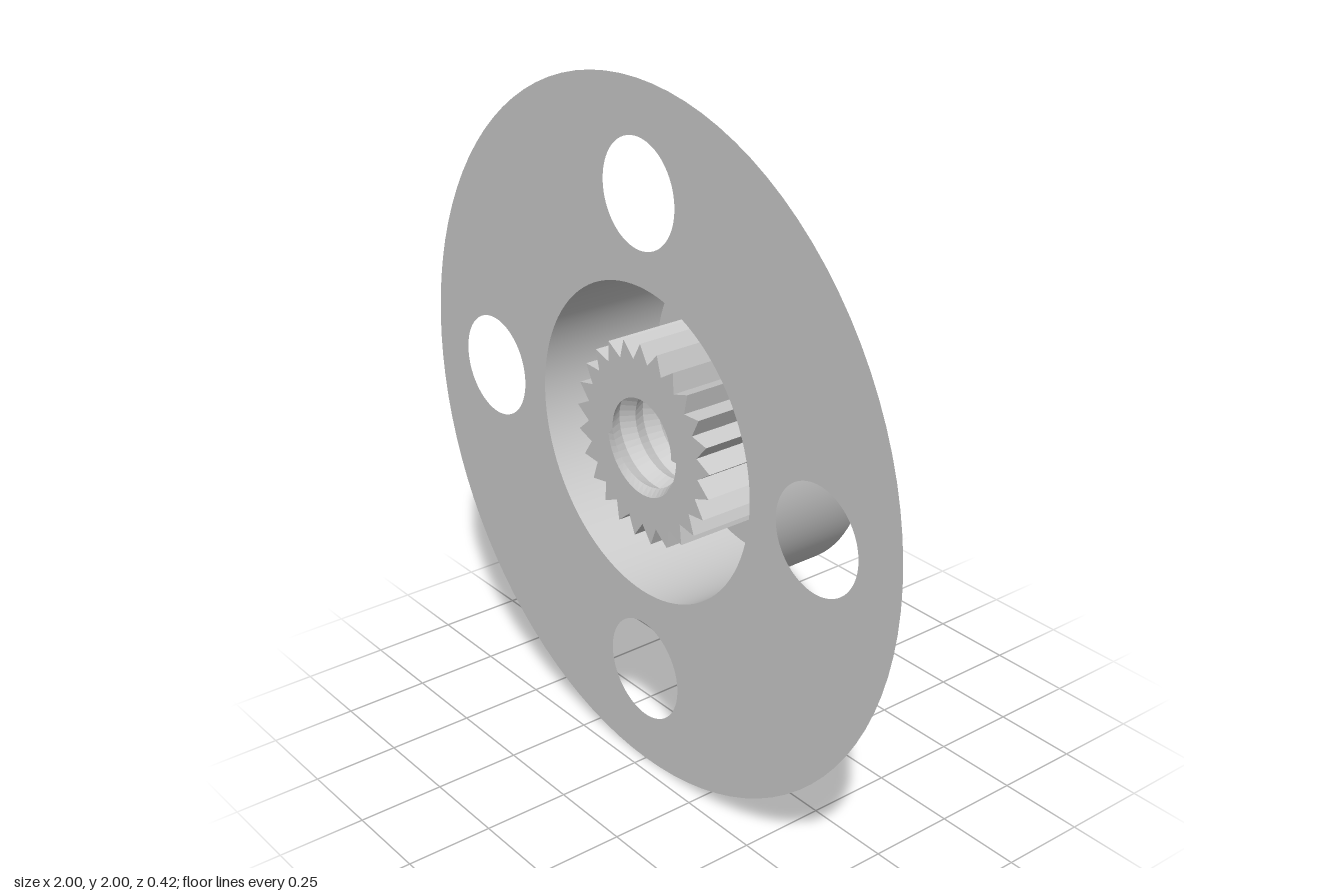
import * as THREE from 'three';

const FRONT = 0.21, BACK = -0.19, SEG = 96;
const HUB_R = 0.45, BORE_R = 0.15, CREST_R = 0.13;
const TEETH = 25, TIP_R = 0.29, VALLEY_R = 0.24;

const smooth = new THREE.MeshStandardMaterial({ color: 0xcccccc, side: THREE.DoubleSide });
const flat = new THREE.MeshStandardMaterial({ color: 0xcccccc, side: THREE.DoubleSide, flatShading: true });

function circle(Type, r, x = 0, y = 0) {
  return new Type().absarc(x, y, r, 0, Math.PI * 2, false);
}

// Zigzag spline outline, with one tooth tip pointing straight up
function splinePoints() {
  const pts = [];
  for (let i = 0; i < TEETH * 2; i++) {
    const a = Math.PI / 2 + (i * Math.PI) / TEETH;
    const r = i % 2 ? VALLEY_R : TIP_R;
    pts.push(new THREE.Vector2(r * Math.cos(a), r * Math.sin(a)));
  }
  return pts;
}

// Grid surface from a function (i, j) => [x, y, z]
function gridSurface(nu, nv, point) {
  const pos = [], index = [];
  for (let i = 0; i <= nu; i++) for (let j = 0; j <= nv; j++) pos.push(...point(i, j));
  for (let i = 0; i < nu; i++) {
    for (let j = 0; j < nv; j++) {
      const a = i * (nv + 1) + j, b = a + nv + 1;
      index.push(a, b, a + 1, b, b + 1, a + 1);
    }
  }
  const g = new THREE.BufferGeometry();
  g.setAttribute('position', new THREE.Float32BufferAttribute(pos, 3));
  g.setIndex(index);
  g.computeVertexNormals();
  return g;
}

// V-thread swept along a helix, trimmed flat at both ends
function threadGeometry() {
  const pitch = 0.08, perTurn = 48, turns = 7, end = -0.21;
  const start = FRONT + pitch;
  return gridSurface(turns * perTurn, 2, (i, j) => {
    const a = (i / perTurn) * Math.PI * 2;
    const r = j === 1 ? CREST_R : BORE_R;
    const z = start - (i / perTurn) * pitch - (j * pitch) / 2;
    return [r * Math.cos(a), r * Math.sin(a), THREE.MathUtils.clamp(z, end, FRONT)];
  });
}

export function createModel() {
  const group = new THREE.Group();
  const add = (name, geometry, material = smooth) => {
    const mesh = new THREE.Mesh(geometry, material);
    mesh.name = name;
    group.add(mesh);
    return mesh;
  };

  // Thin flange with the hub opening and four mounting holes
  const flange = circle(THREE.Shape, 1);
  flange.holes.push(circle(THREE.Path, HUB_R));
  for (let k = 0; k < 4; k++) {
    const a = (k * Math.PI) / 2;
    flange.holes.push(circle(THREE.Path, 0.15, 0.7 * Math.cos(a), 0.7 * Math.sin(a)));
  }
  add('flange', new THREE.ShapeGeometry(flange, SEG / 2)).position.z = FRONT;

  // Hub wall
  const wall = new THREE.CylinderGeometry(HUB_R, HUB_R, FRONT - BACK, SEG, 1, true);
  wall.rotateX(Math.PI / 2);
  add('hubWall', wall).position.z = (FRONT + BACK) / 2;

  // Hub back plate with the toothed opening, facing backwards
  const plate = circle(THREE.Shape, HUB_R);
  plate.holes.push(new THREE.Path(splinePoints()));
  const plateGeometry = new THREE.ShapeGeometry(plate, SEG / 2);
  plateGeometry.rotateY(Math.PI);
  plateGeometry.scale(-1, 1, 1);
  // mirroring keeps the outline in place, so restore the winding
  const order = plateGeometry.index.array;
  for (let i = 0; i < order.length; i += 3) {
    [order[i], order[i + 1]] = [order[i + 1], order[i]];
  }
  plateGeometry.computeVertexNormals();
  add('hubBackPlate', plateGeometry).position.z = BACK;

  // Toothed socket running from the back plate to its front cap
  const spline = splinePoints();
  add('splineWall', gridSurface(spline.length, 1, (i, j) => {
    const p = spline[i % spline.length];
    return [p.x, p.y, j ? BACK : FRONT];
  }), flat);

  const cap = new THREE.Shape(spline);
  cap.holes.push(circle(THREE.Path, BORE_R));
  add('splineCap', new THREE.ShapeGeometry(cap, SEG / 4)).position.z = FRONT;

  // Screw thread through the centre
  add('screwThread', threadGeometry(), flat);

  group.position.y = 1;
  const model = new THREE.Group();
  model.name = 'splinedHub';
  model.add(group);
  return model;
}
